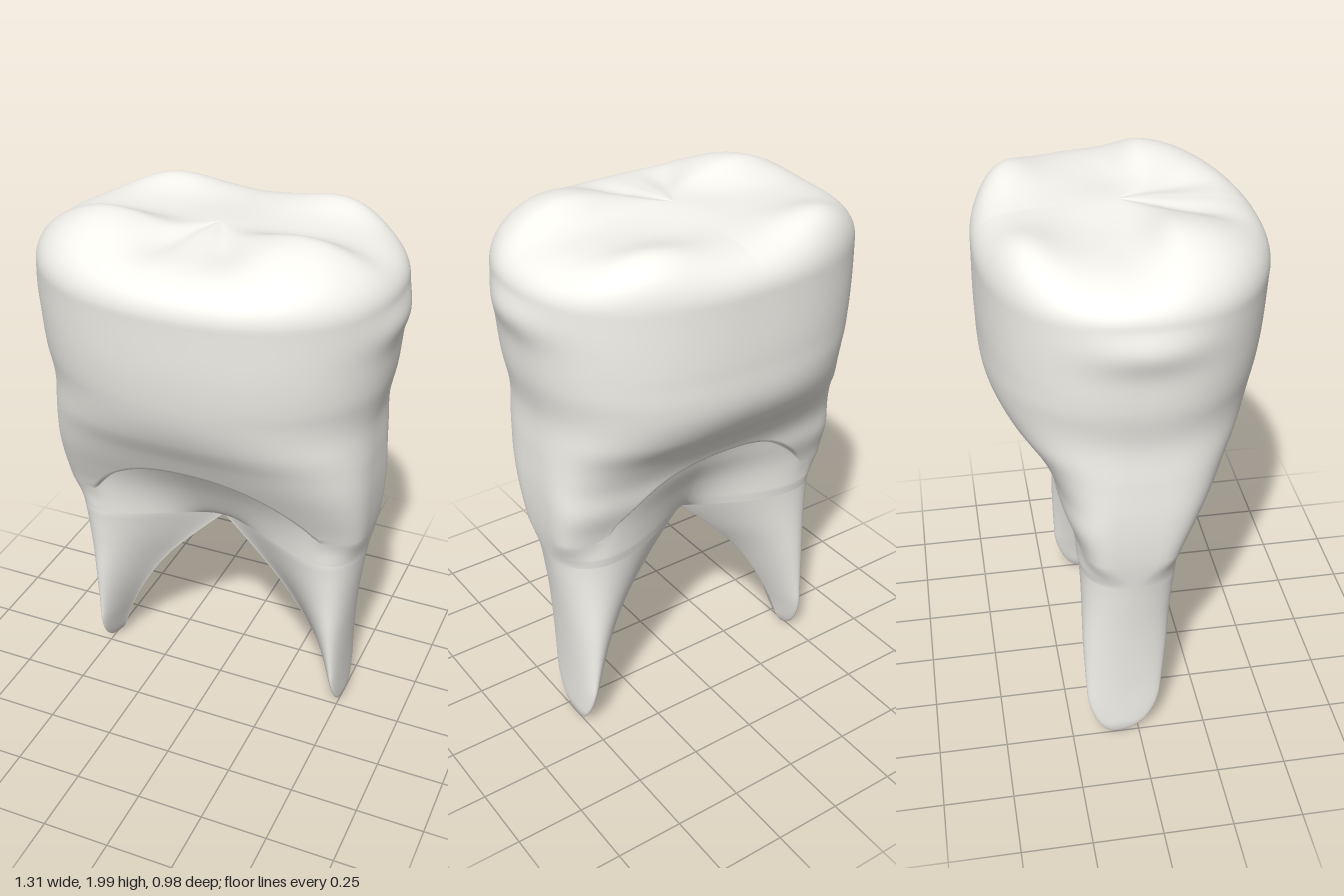
import * as THREE from 'three';
import { mergeVertices } from 'three/addons/utils/BufferGeometryUtils.js';

const CAP_ROWS = 32, COLS = 40;
const CROTCH = 0.755, LIP = 1, RIM = 1.8;
const { lerp, smoothstep, clamp } = THREE.MathUtils;

// Smooth curve through [y, value] pairs
function curve(pairs) {
  const c = new THREE.CubicInterpolant(pairs.map(p => p[0]), pairs.map(p => p[1]), 1, new Float32Array(1));
  return y => c.evaluate(y)[0];
}

// Profiles by height: outer side, inner root edge, front, back, mid plane
const outerX = curve([[0, 0.512], [0.25, 0.517], [0.5, 0.535], [0.7, 0.56], [0.9, 0.59], [1.05, 0.598],
  [1.2, 0.595], [1.35, 0.592], [1.5, 0.618], [1.65, 0.628], [1.8, 0.63]]);
const innerX = curve([[0, 0.478], [0.15, 0.43], [0.32, 0.35], [0.48, 0.25], [0.63, 0.12], [CROTCH, 0]]);
const frontZ = curve([[0, 0.06], [0.2, 0.08], [0.4, 0.1], [0.6, 0.115], [0.8, 0.145], [0.9, 0.18],
  [1, 0.23], [1.1, 0.285], [1.2, 0.34], [1.3, 0.4], [1.4, 0.44], [1.55, 0.47], [1.8, 0.49]]);
const backZ = curve([[0, -0.18], [0.2, -0.192], [0.4, -0.2], [0.8, -0.206], [0.9, -0.225], [1, -0.262],
  [1.1, -0.285], [1.2, -0.34], [1.3, -0.425], [1.4, -0.475], [1.55, -0.488], [1.8, -0.487]]);
const midZ = curve([[0, -0.08], [0.4, -0.05], [0.9, -0.03], [1.3, 0], [1.8, 0]]);

const gauss = (d, w) => Math.exp(-(d * d) / (w * w));
const tip = (y, r) => (y < r ? Math.sqrt(1 - (1 - y / r) ** 2) : 1);
const superEllipse = (u, n) => Math.max(0, 1 - u ** n) ** (1 / n);

// Rows bend so that the row at LIP follows the arch over the gap between the roots
function rowHeight(r, u) {
  const arch = Math.max(0.87, 1.12 - 0.25 * (u * 1.33) ** 2.4);
  const bend = r < LIP ? (r - CROTCH) / (LIP - CROTCH) : (1.5 - r) / (1.5 - LIP);
  return r + (arch - LIP) * clamp(bend, 0, 1);
}

// Point on the wall of the left half: u runs from the inner edge (0) to the outer side (1)
function wallPoint(r, u, front) {
  const y = rowHeight(r, u);
  const out = outerX(y), inn = y < CROTCH ? Math.max(0, innerX(y)) : 0;
  let x = (inn + out) / 2 + (u - 0.5) * (out - inn) * tip(y, 0.06);
  const zc = midZ(y);
  const depth = (front ? frontZ(y) : backZ(y)) - zc;

  // body section, squarer near the roots
  const full = superEllipse(u, lerp(5, front ? 2.25 : 2.4, smoothstep(y, 0.8, 1.45)));

  // wedge-shaped root, and the web that rises between the roots
  const v = u ** (front ? 2.6 : 1.9);
  const wedge = Math.sqrt(Math.max(0, 4 * v * (1 - v))) * Math.min(1, 0.17 / Math.abs(depth));
  const rise = clamp((y - CROTCH) / 0.365, 0, 1);
  let section = Math.hypot(wedge, 0.8 * Math.sqrt(rise) * superEllipse(u, 2.4));
  section = lerp(section, full, smoothstep(u, 0.68, 0.85) * smoothstep(y, CROTCH, 0.87));
  if (r > LIP) section = full;

  const z = zc + depth * section * tip(y, 0.2);
  // swelling on the sides of the crown
  x += u ** 4 * gauss(z, 0.2) * 0.025 * gauss(y - 1.72, 0.07);
  return [x, y, z];
}

// Height of the chewing surface: four cusps and grooves
function chewHeight(x, z) {
  const ax = Math.abs(x);
  const r = Math.hypot(x, z);
  const frontCusp = 0.068 * gauss(ax - 0.35, 0.23) * gauss(z - 0.14, z < 0.14 ? 0.1 : 0.24);
  const backCusp = 0.065 * gauss(ax - 0.36, 0.2) * gauss(z + 0.38, 0.14);
  const groove = z > 0 ? 0.02 * gauss(Math.atan2(ax, z) - 0.45, 0.25) * gauss(r - 0.25, 0.15) : 0;
  return 1.93 + 0.015 * gauss(r, 0.15) + frontCusp + backCusp - groove;
}

function capPoint(s, u, front) {
  const [px, , pz] = wallPoint(RIM, u, front);
  const x = px * s, z = pz * s;
  return [x, RIM + (chewHeight(x, z) - RIM) * Math.sqrt(Math.max(0, 1 - s ** 6.5)), z];
}

// Rows from the root tips to the rim, with a close pair at the lip, then the cap rows
function makeRows() {
  const rows = [];
  const add = (from, to, n, power = 1) => {
    for (let i = 0; i <= n; i++) {
      const r = from + (to - from) * (i / n) ** power;
      rows.push((u, front) => wallPoint(r, u, front));
    }
  };
  add(0, CROTCH - 0.001, 70, 1.4);
  add(CROTCH, LIP - 0.003, 34, 1.3);
  add(LIP + 0.003, RIM, 60);
  for (let i = 1; i <= CAP_ROWS; i++) {
    const s = Math.cos(i / CAP_ROWS * Math.PI / 2);
    rows.push((u, front) => capPoint(s, u, front));
  }
  return rows;
}

function toothGeometry() {
  const positions = [], index = [];
  const width = 2 * COLS + 1, rows = makeRows();
  for (const side of [1, -1]) {
    const start = positions.length / 3;
    rows.forEach((point, i) => {
      for (let j = 0; j < width; j++) {
        // front from the inner edge outwards, then back again behind
        const front = j <= COLS;
        const u = 0.5 - 0.5 * Math.cos(Math.PI * (front ? j : 2 * COLS - j) / COLS);
        const [px, py, pz] = point(u, front);
        positions.push(Math.abs(px) < 1e-5 ? 0 : px * side, py, pz);
        if (i === 0 || j === 0) continue;
        const d = start + i * width + j, c = d - 1, b = d - width, a = b - 1;
        if (side > 0) index.push(a, b, d, a, d, c);
        else index.push(a, d, b, a, c, d);
      }
    });
  }
  let g = new THREE.BufferGeometry();
  g.setAttribute('position', new THREE.Float32BufferAttribute(positions, 3));
  g.setIndex(index);
  g = mergeVertices(g, 1e-4);
  g.computeVertexNormals();
  return g;
}

export function createModel() {
  const group = new THREE.Group();
  group.name = 'molarTooth';
  const tooth = new THREE.Mesh(toothGeometry(), new THREE.MeshStandardMaterial({ color: 0xf6f4ee }));
  tooth.name = 'crownAndRoots';
  group.add(tooth);
  return group;
}
